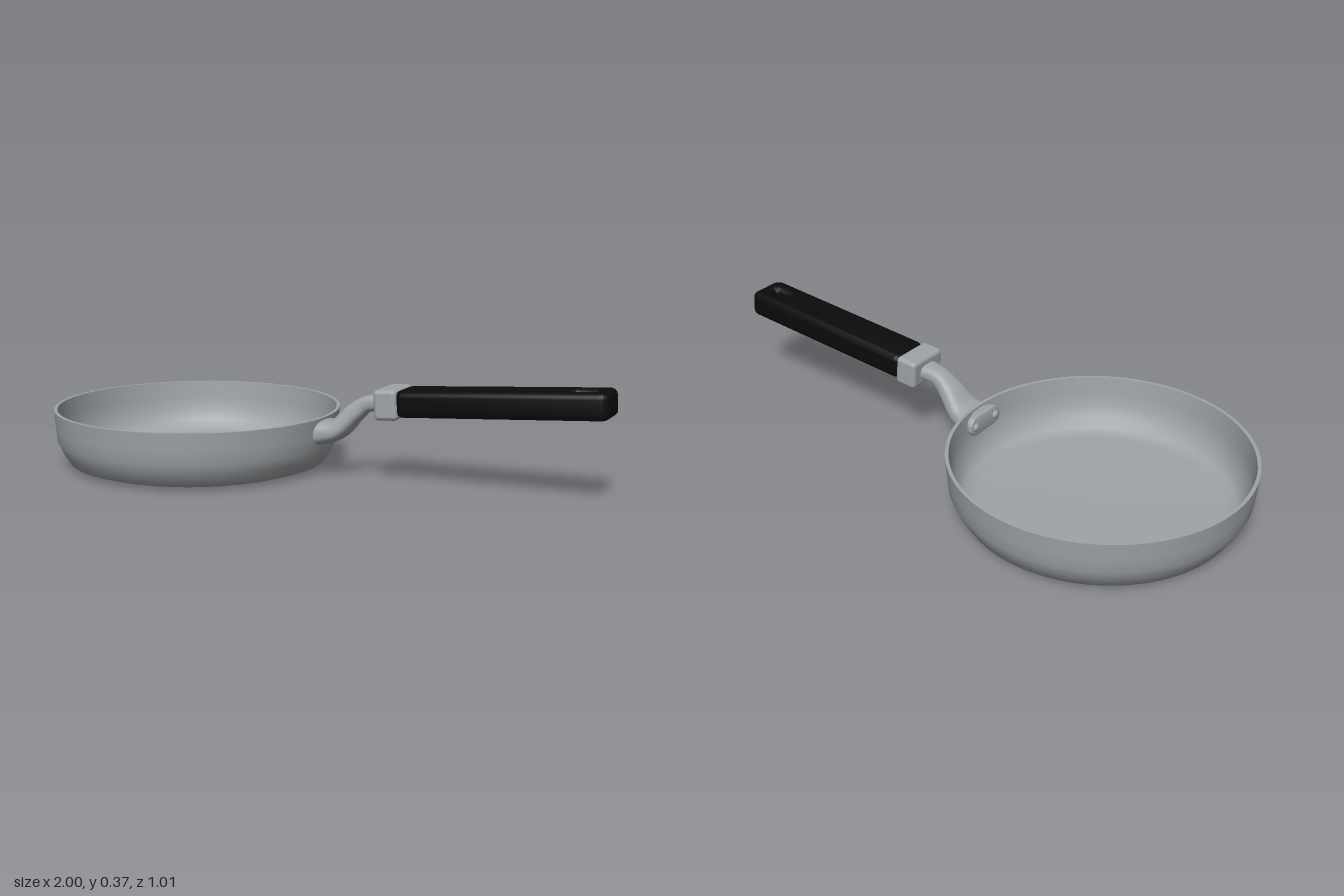
import * as THREE from 'three';
import { mergeVertices, toCreasedNormals } from 'three/addons/utils/BufferGeometryUtils.js';
import { RoundedBoxGeometry } from 'three/addons/geometries/RoundedBoxGeometry.js';

const PAN_X = -0.494;
const TILT = 0.07;

// Stadium or rounded rectangle outline centred on (cx, 0)
function roundedRect(path, cx, w, h, r) {
  const x = w / 2, y = h / 2;
  path.moveTo(cx - x + r, -y);
  path.lineTo(cx + x - r, -y);
  path.absarc(cx + x - r, -y + r, r, -Math.PI / 2, 0);
  path.absarc(cx + x - r, y - r, r, 0, Math.PI / 2);
  path.absarc(cx - x + r, y - r, r, Math.PI / 2, Math.PI);
  path.absarc(cx - x + r, -y + r, r, Math.PI, Math.PI * 1.5);
  return path;
}

// Round tube whose section width and thickness vary along a curve in the xy plane
function taperedNeck(path, sizes) {
  const geo = new THREE.CylinderGeometry(1, 1, 1, 32, 28, true);
  const pos = geo.attributes.position;
  const soften = v => Math.sign(v) * Math.pow(Math.abs(v), 0.75);
  for (let i = 0; i < pos.count; i++) {
    const t = Math.min(1, Math.max(0, pos.getY(i) + 0.5));
    const c = path.getPoint(t), d = path.getTangent(t), s = sizes.getPoint(t);
    const n = soften(pos.getX(i)) * s.y;
    pos.setXYZ(i, c.x + d.y * n, c.y - d.x * n, soften(pos.getZ(i)) * s.x);
  }
  geo.deleteAttribute('uv');
  geo.deleteAttribute('normal');
  const merged = mergeVertices(geo, 1e-5);
  merged.computeVertexNormals();
  return merged;
}

export function createModel() {
  const model = new THREE.Group();
  const steel = new THREE.MeshStandardMaterial({ color: 0xa0a4a7 });
  steel.name = 'brushed steel';
  const black = new THREE.MeshStandardMaterial({ color: 0x0b0b0b });
  black.name = 'black grip';

  const add = (name, geo, mat, parent = model) => {
    const mesh = new THREE.Mesh(geo, mat);
    mesh.name = name;
    parent.add(mesh);
    return mesh;
  };

  // Pan: each smooth run of the profile is its own lathe, so the rim stays crisp
  const pan = new THREE.Group();
  pan.name = 'pan';
  pan.position.x = PAN_X;
  model.add(pan);
  const profiles = {
    panBase: [[0, 0], [0.405, 0]],
    panOuterWall: [[0.405, 0], [0.456, 0.016], [0.48, 0.056], [0.496, 0.092], [0.501, 0.14], [0.506, 0.202]],
    panRim: [[0.506, 0.202], [0.494, 0.202]],
    panInside: [[0.494, 0.202], [0.489, 0.14], [0.483, 0.095], [0.467, 0.058], [0.445, 0.026], [0.4, 0.014], [0, 0.012]],
  };
  for (const [name, pts] of Object.entries(profiles)) {
    add(name, new THREE.LatheGeometry(pts.map(p => new THREE.Vector2(...p)), 96), steel, pan);
  }

  // Inner mounting plate, bent to follow the wall
  const plateShape = roundedRect(new THREE.Shape(), 0, 0.16, 0.07, 0.034);
  const plateGeo = new THREE.ExtrudeGeometry(plateShape, {
    depth: 0.02, bevelSize: 0.003, bevelThickness: 0.003, bevelOffset: -0.003, bevelSegments: 2, curveSegments: 10,
  });
  plateGeo.rotateY(-Math.PI / 2);
  const pp = plateGeo.attributes.position;
  for (let i = 0; i < pp.count; i++) pp.setX(i, pp.getX(i) - pp.getZ(i) ** 2 / 0.98);
  add('mountingPlate', toCreasedNormals(plateGeo, 0.6), steel).position.set(-0.001, 0.152, 0);

  // Domed rivets on the plate
  for (const side of [-1, 1]) {
    const dome = new THREE.SphereGeometry(0.016, 20, 8, 0, Math.PI * 2, 0, Math.PI / 2);
    dome.scale(1, 0.75, 1);
    dome.rotateZ(Math.PI / 2);
    add(side > 0 ? 'frontRivet' : 'backRivet', dome, steel).position.set(-0.026, 0.152, side * 0.055);
  }

  // Neck rising from the wall to the collar
  const curve = pts => new THREE.CatmullRomCurve3(pts.map(([x, y]) => new THREE.Vector3(x, y, 0)));
  add('neck', taperedNeck(
    curve([[0.0, 0.15], [0.06, 0.164], [0.122, 0.225], [0.17, 0.26], [0.245, 0.27]]),
    curve([[0.077, 0.043], [0.068, 0.036], [0.047, 0.033], [0.037, 0.028], [0.045, 0.028]]),
  ), steel);

  // Collar between neck and grip
  const collar = add('collar', new RoundedBoxGeometry(0.082, 0.102, 0.156, 3, 0.015), steel);
  collar.position.set(0.262, 0.273, 0);
  collar.rotation.z = TILT;

  // Grip with a hanging slot near its end
  const gripShape = roundedRect(new THREE.Shape(), 0, 0.71, 0.148, 0.032);
  gripShape.holes.push(roundedRect(new THREE.Path(), 0.268, 0.086, 0.038, 0.0185));
  const bevel = 0.02, height = 0.088;
  const gripGeo = new THREE.ExtrudeGeometry(gripShape, {
    depth: height - 2 * bevel, bevelSize: bevel, bevelThickness: bevel, bevelOffset: -bevel,
    bevelSegments: 5, curveSegments: 8,
  });
  gripGeo.translate(0, 0, bevel - height / 2 - bevel);
  gripGeo.translate(0, 0, bevel);
  gripGeo.rotateX(-Math.PI / 2);
  const grip = add('grip', toCreasedNormals(gripGeo, 0.7), black);
  grip.position.set(0.646, 0.302, 0);
  grip.rotation.z = TILT;

  return model;
}
